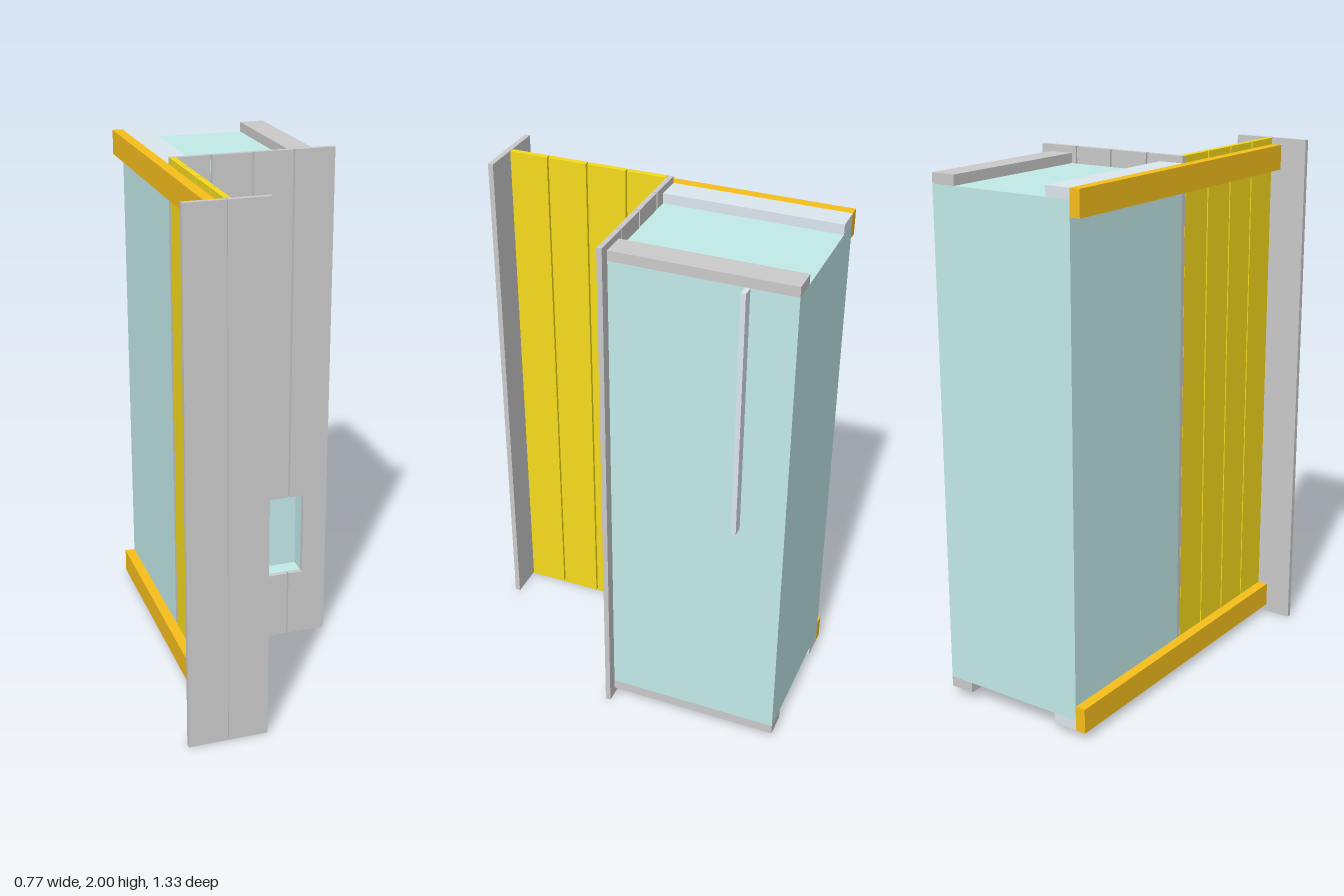
import * as THREE from 'three';

const mat = (color) => new THREE.MeshStandardMaterial({ color });

export function createModel() {
  const model = new THREE.Group();
  const grey = mat(0xcccccc), teal = mat(0xc3ecea), pale = mat(0xdde7ef);
  const yellow = mat(0xf8dc1c), orange = mat(0xf8c01c);

  // Box given by its min/max on each axis
  const block = (name, material, [x0, x1], [y0, y1], [z0, z1], parent = model) => {
    const mesh = new THREE.Mesh(new THREE.BoxGeometry(x1 - x0, y1 - y0, z1 - z0), material);
    mesh.position.set((x0 + x1) / 2, (y0 + y1) / 2, (z0 + z1) / 2);
    mesh.name = name;
    parent.add(mesh);
    return mesh;
  };

  const back = -0.663, recess = -0.065;
  const win = { x: [-0.048, 0.287], y: [0.275, 0.615] };
  const body = { x: [-0.24, 0.343], y: [0.07, 1.937] };

  // Cabinet body: solid rear plus a front slab pierced by the window recess
  block('cabinetBody', teal, body.x, body.y, [back, recess]);
  const rect = (Type, [x0, x1], [y0, y1]) => new Type([
    new THREE.Vector2(x0, y0), new THREE.Vector2(x1, y0),
    new THREE.Vector2(x1, y1), new THREE.Vector2(x0, y1),
  ]);
  const face = rect(THREE.Shape, body.x, body.y);
  face.holes.push(rect(THREE.Path, win.x, win.y));
  const slab = new THREE.Mesh(
    new THREE.ExtrudeGeometry(face, { depth: -recess, bevelEnabled: false }), teal);
  slab.position.z = recess;
  slab.name = 'cabinetFront';
  model.add(slab);

  // Battens along the top and bottom edges, and the outer side rails
  for (const [level, y, railY] of [
    ['top', [1.937, 1.975], [1.88, 1.975]],
    ['bottom', [0.03, 0.07], [0.03, 0.125]],
  ]) {
    block(level + 'LeftBatten', grey, [0.247, 0.343], y, [back, 0]);
    block(level + 'RightBatten', pale, [-0.24, -0.143], y, [back, 0]);
    block(level + 'SideRail', orange, [-0.28, -0.24], railY, [back, 0.643]);
  }

  // Front boards, each cut where it meets the window
  const frontBoards = new THREE.Group();
  frontBoards.name = 'frontBoards';
  model.add(frontBoards);
  const boardWidth = 0.15, pitch = 0.1565;
  for (let i = 0; i < 4; i++) {
    const x0 = -0.24 + i * pitch, x1 = i === 3 ? 0.385 : x0 + boardWidth;
    const a = Math.max(x0, win.x[0]), b = Math.min(x1, win.x[1]);
    const z = [0, 0.02];
    const add = (x, y) => x[1] - x[0] > 0.001 && block('frontBoard', grey, x, y, z, frontBoards);
    if (a >= b) {
      add([x0, x1], [0, 2]);
      continue;
    }
    add([x0, a], [0, 2]);
    add([b, x1], [0, 2]);
    add([a, b], [0, win.y[0]]);
    add([a, b], [win.y[1], 2]);
  }

  // Yellow side boards running forward of the cabinet
  for (let i = 0; i < 4; i++) {
    const z0 = 0.021 + i * 0.1565;
    block('sideBoard', yellow, [-0.24, -0.218], [0, 2], [z0, z0 + boardWidth]);
  }

  // Pair of end boards closing the side wall
  block('endBoard', grey, [-0.385, -0.237], [0, 2], [0.643, 0.663]);
  block('endBoard', grey, [-0.234, -0.085], [0, 2], [0.643, 0.663]);

  // Upright strip on the left side
  block('sideStrip', pale, [0.343, 0.385], [0.98, 1.937], [-0.497, -0.479]);

  return model;
}
